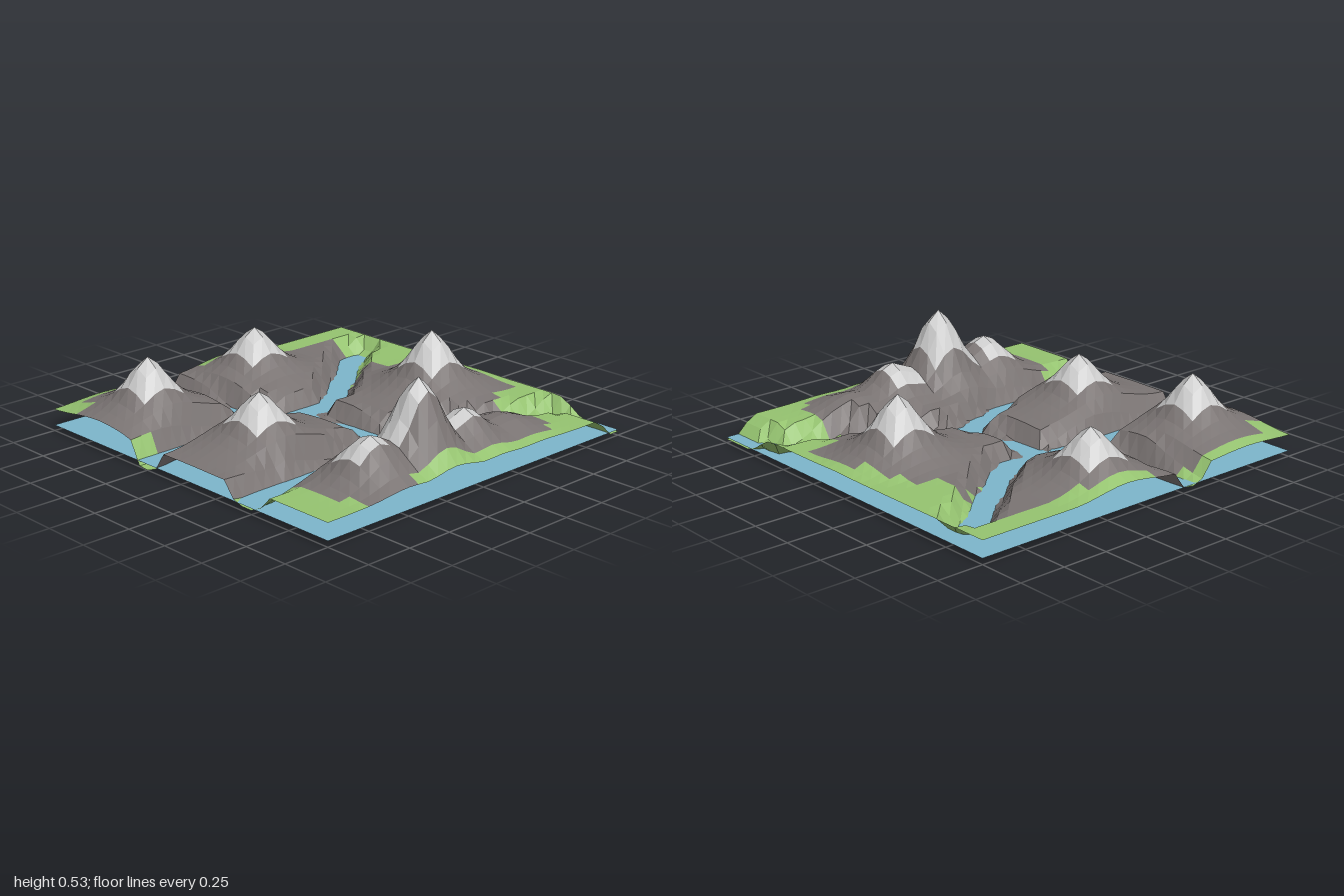
import * as THREE from 'three';

const N = 32, STEP = 2 / N, LAND = 0.115, WATER = 0.03;

// Mountains: x, z, height above land, foot radius
const peaks = [
  [-0.6875, -0.625, 0.295, 0.5],
  [0.125, -0.75, 0.245, 0.42],
  [-0.5625, 0.0625, 0.255, 0.48],
  [0.625, 0.0625, 0.305, 0.42],
];
// Front ridge: x, z, height, spread
const ridge = [
  [-0.1875, 0.75, 0.412, 0.165],
  [-0.5, 0.75, 0.205, 0.17],
  [0.125, 0.75, 0.185, 0.16],
  [0.4, 0.74, 0.08, 0.18],
];

// Rivers: half width, bed height, centre line
const rivers = [
  { w: 0.06, bed: 0.02, line: [[-0.32, -1.1], [-0.28, -0.75], [-0.22, -0.45], [-0.08, -0.25]] },
  { w: 0.065, bed: 0, line: [[-1.1, -0.25], [-0.8, -0.27], [-0.4, -0.3], [-0.15, -0.28]] },
  { w: 0.07, bed: 0.02, line: [[-0.15, -0.27], [0.2, -0.25], [0.5, -0.47], [0.82, -0.72], [0.86, -0.72]] },
  { w: 0.065, bed: 0.02, line: [[-0.02, -0.25], [0, 0], [0.05, 0.26]] },
  { w: 0.07, bed: 0.02, line: [[0.05, 0.26], [-0.3, 0.38], [-0.7, 0.42]] },
  { w: 0.085, bed: 0.02, line: [[-0.7, 0.42], [-1.1, 0.48]] },
  { w: 0.065, bed: 0.02, line: [[0.05, 0.25], [0.3, 0.38], [0.55, 0.55], [0.88, 0.65], [0.97, 0.85], [0.97, 1.1]] },
];

// Outlines of the bare rock around each mountain
const rockAreas = [
  [[-1, -0.81], [-0.88, -0.81], [-0.88, -0.94], [-0.38, -0.94], [-0.28, -0.75], [-0.2, -0.4],
    [-0.1, -0.28], [-0.8, -0.3], [-0.88, -0.38], [-1, -0.38]],
  [[-0.25, -1], [-0.06, -1], [-0.06, -0.94], [0.31, -0.94], [0.31, -0.87], [0.81, -0.87], [0.81, -0.75],
    [0.4, -0.4], [0.15, -0.25], [0, -0.25], [-0.1, -0.28], [-0.2, -0.45], [-0.28, -0.75]],
  [[0.69, -0.5], [0.69, -0.31], [0.81, -0.31], [0.88, -0.12], [0.88, 0], [0.94, 0.06], [0.94, 0.37],
    [0.75, 0.37], [0.69, 0.5], [0.56, 0.56], [0.3, 0.38], [0.1, 0.27], [0, 0], [0, -0.25], [0.2, -0.25]],
  [[-0.82, -0.25], [-0.1, -0.27], [0, 0], [0.05, 0.27], [-0.3, 0.37], [-0.7, 0.42], [-1, 0.38], [-1, -0.19]],
  [[-0.82, 0.87], [-0.82, 0.56], [-0.7, 0.48], [-0.3, 0.37], [0.05, 0.27], [0.3, 0.38], [0.45, 0.5],
    [0.62, 0.62], [0.62, 0.87], [0.55, 0.94], [-0.44, 0.94], [-0.44, 1], [-0.75, 1], [-0.75, 0.87]],
];

// Snow caps: x and z range
const snowAreas = [
  ...peaks.map(([x, z]) => [x - 0.125, x + 0.125, z - 0.125, z + 0.125]),
  [-0.375, -0.0625, 0.625, 0.8125],
  [-0.625, -0.4375, 0.625, 0.8125],
  [0, 0.1875, 0.625, 0.8125],
];

function segmentDistance(x, z, [ax, az], [bx, bz]) {
  const dx = bx - ax, dz = bz - az;
  const t = THREE.MathUtils.clamp(((x - ax) * dx + (z - az) * dz) / (dx * dx + dz * dz), 0, 1);
  return Math.hypot(x - ax - t * dx, z - az - t * dz);
}

function inside(x, z, outline) {
  let hit = false;
  outline.forEach(([ax, az], i) => {
    const [bx, bz] = outline[(i + 1) % outline.length];
    if ((az > z) !== (bz > z) && x < ax + ((z - az) * (bx - ax)) / (bz - az)) hit = !hit;
  });
  return hit;
}

// Mountains blended together, then cut by the rivers
function height(x, z) {
  let sum = 0;
  for (const [px, pz, h, r] of peaks) {
    const d = Math.hypot(x - px, z - pz);
    const foot = d < r ? Math.cos((Math.PI / 2) * d / r) ** 2 : 0;
    sum += (h * (0.6 * Math.exp(-((d / 0.12) ** 2)) + 0.4 * foot)) ** 3;
  }
  for (const [px, pz, h, s] of ridge) {
    const d2 = (x - px) ** 2 + (z - pz) ** 2;
    sum += (h * Math.exp(-d2 / (s * s))) ** 3;
  }
  const land = LAND + Math.cbrt(sum);
  let y = land;
  for (const { w, bed, line } of rivers) {
    for (let i = 1; i < line.length; i++) {
      const d = segmentDistance(x, z, line[i - 1], line[i]);
      const s = THREE.MathUtils.smoothstep(d, w - 0.02, w + 0.065);
      y = Math.min(y, THREE.MathUtils.lerp(bed, land, s));
    }
  }
  return y;
}

function cover(x, z) {
  if (snowAreas.some(([x0, x1, z0, z1]) => x > x0 && x < x1 && z > z0 && z < z1)) return 'snowCaps';
  return rockAreas.some((outline) => inside(x, z, outline)) ? 'rockSlopes' : 'grassland';
}

export function createModel() {
  const model = new THREE.Group();
  model.name = 'riverLandscape';

  // Terrain squares sorted by ground cover
  const colors = { grassland: 0x95c370, rockSlopes: 0x7a7473, snowCaps: 0xc4c4c4 };
  const parts = { grassland: [], rockSlopes: [], snowCaps: [] };
  const corner = (i, j) => {
    const x = -1 + i * STEP, z = -1 + j * STEP;
    return [x, height(x, z), z];
  };
  for (let j = 0; j < N; j++) {
    for (let i = 0; i < N; i++) {
      const a = corner(i, j), b = corner(i, j + 1), c = corner(i + 1, j + 1), d = corner(i + 1, j);
      const kind = cover(-1 + (i + 0.5) * STEP, -1 + (j + 0.5) * STEP);
      parts[kind].push(...a, ...b, ...d, ...b, ...c, ...d);
    }
  }
  for (const [name, positions] of Object.entries(parts)) {
    const geometry = new THREE.BufferGeometry();
    geometry.setAttribute('position', new THREE.Float32BufferAttribute(positions, 3));
    geometry.computeVertexNormals();
    const mesh = new THREE.Mesh(geometry, new THREE.MeshStandardMaterial({
      color: colors[name], flatShading: true, side: THREE.DoubleSide,
    }));
    mesh.name = name;
    model.add(mesh);
  }

  // Water sheet
  const water = new THREE.Mesh(
    new THREE.PlaneGeometry(2, 2).rotateX(-Math.PI / 2),
    new THREE.MeshStandardMaterial({ color: 0x7db6cb, side: THREE.DoubleSide }),
  );
  water.name = 'water';
  water.position.y = WATER;
  model.add(water);
  return model;
}
